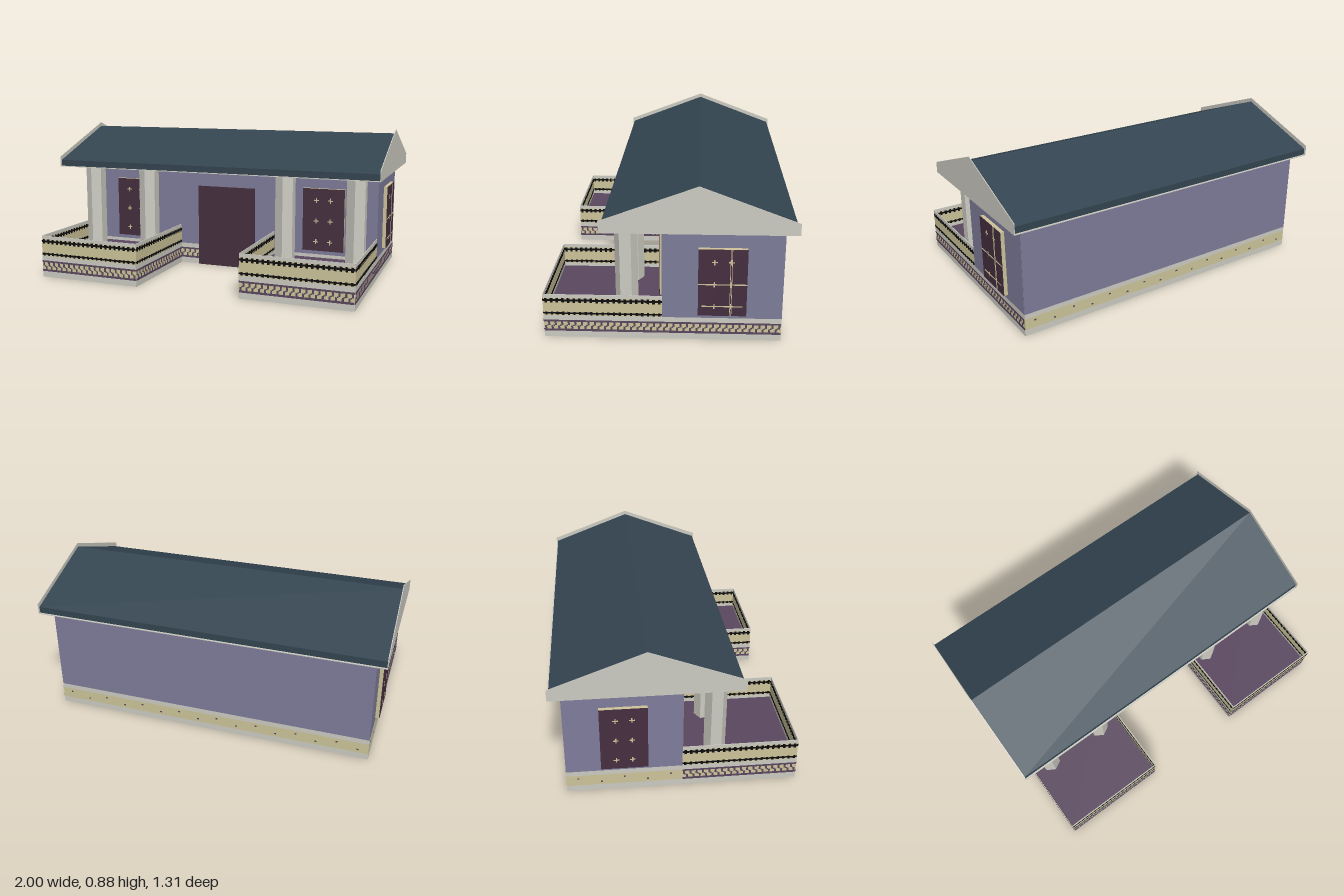
import * as THREE from 'three';
import { mergeGeometries } from 'three/addons/utils/BufferGeometryUtils.js';

const mat = (name, color) => {
  const m = new THREE.MeshStandardMaterial({ color });
  m.name = name;
  return m;
};

export function createModel() {
  const model = new THREE.Group();
  const lilac = mat('lilac wall', 0x7e7c9a);
  const stone = mat('pale stone', 0xcccbc2);
  const cream = mat('cream', 0xcdc49a);
  const maroon = mat('dark maroon', 0x452e3e);
  const slate = mat('slate roof', 0x334450);
  const plum = mat('plum', 0x5a475f);
  const black = mat('black', 0x0c0c0e);

  const add = (parent, name, geometry, material) => {
    const mesh = new THREE.Mesh(geometry, material);
    mesh.name = name;
    parent.add(mesh);
    return mesh;
  };
  const box = (w, h, d, x, y, z) => new THREE.BoxGeometry(w, h, d).translate(x, y, z);

  // A wall run is a group with local x along the wall, so strips stack up in y
  const run = (name, [x0, z0], [x1, z1]) => {
    const g = new THREE.Group();
    g.name = name;
    g.position.set((x0 + x1) / 2, 0, (z0 + z1) / 2);
    g.rotation.y = -Math.atan2(z1 - z0, x1 - x0);
    g.userData.length = Math.hypot(x1 - x0, z1 - z0);
    model.add(g);
    return g;
  };
  const strip = (g, name, material, y0, y1) =>
    add(g, name, box(g.userData.length, y1 - y0, 0.004, 0, (y0 + y1) / 2, 0), material);

  // Plinth bands, with a stepped fret or a few specks
  const plinth = (g, ornate) => {
    strip(g, 'plinthFoot', stone, 0, 0.035);
    strip(g, 'plinthBand', cream, 0.035, 0.1);
    strip(g, 'plinthCap', stone, 0.1, 0.128);
    const L = g.userData.length, n = Math.round(L / (ornate ? 0.035 : 0.12)), p = L / n;
    const parts = [];
    for (let i = 0; i < n; i++) {
      const x = -L / 2 + (i + 0.5) * p;
      if (ornate) {
        parts.push(box(p * 0.3, 0.022, 0.007, x - p * 0.25, 0.055, 0));
        parts.push(box(p * 0.3, 0.022, 0.007, x + p * 0.25, 0.08, 0));
        parts.push(box(p * 0.25, 0.007, 0.007, x, 0.0675, 0));
      } else {
        parts.push(box(0.012, 0.008, 0.007, x, i % 2 ? 0.055 : 0.08, 0));
      }
    }
    if (ornate) {
      parts.push(box(L, 0.012, 0.007, 0, 0.041, 0));
      parts.push(box(L, 0.01, 0.007, 0, 0.095, 0));
    }
    add(g, 'plinthFret', mergeGeometries(parts), plum);
  };

  // Terrace railing with two toothed black borders
  const railing = (g) => {
    strip(g, 'railPanel', cream, 0.128, 0.23);
    strip(g, 'railCap', stone, 0.23, 0.25);
    const L = g.userData.length, n = Math.round(L / 0.03), p = L / n;
    const parts = [box(L, 0.011, 0.007, 0, 0.217, 0), box(L, 0.009, 0.007, 0, 0.141, 0)];
    for (let i = 0; i < n; i++) {
      const x = -L / 2 + (i + 0.5) * p;
      parts.push(box(p * 0.45, 0.026, 0.007, x, 0.216, 0));
      parts.push(box(p * 0.4, 0.018, 0.007, x, 0.14, 0));
    }
    add(g, 'railTeeth', mergeGeometries(parts), black);
  };

  // House walls, open underneath
  const X = 0.938, Z0 = -0.59, Z1 = 0.03, ZT = 0.653;
  [
    ['frontWall', [-X, Z1], [X, Z1], true],
    ['leftWall', [X, Z1], [X, Z0], true],
    ['backWall', [X, Z0], [-X, Z0], false],
    ['rightWall', [-X, Z0], [-X, Z1], false],
  ].forEach(([name, a, b, ornate]) => {
    const g = run(name, a, b);
    plinth(g, ornate);
    strip(g, 'wallFace', lilac, 0.128, 0.63);
  });

  // Two walled terraces
  for (const s of [-1, 1]) {
    const xi = 0.312 * s, xo = X * s;
    [
      ['terraceInnerRail', [xi, Z1], [xi, ZT]],
      ['terraceFrontRail', [xi, ZT], [xo, ZT]],
      ['terraceOuterRail', [xo, ZT], [xo, Z1]],
    ].forEach(([name, a, b]) => {
      const g = run(name, a, b);
      plinth(g, true);
      railing(g);
    });
    add(model, 'terraceFloor',
      box(0.626, 0.006, ZT - Z1, (xi + xo) / 2, 0.105, (Z1 + ZT) / 2), plum);
  }

  // Hexagonal columns
  for (const x of [-0.818, -0.442, 0.437, 0.852]) {
    const geo = new THREE.CylinderGeometry(0.06, 0.06, 0.525, 6).toNonIndexed();
    geo.computeVertexNormals();
    add(model, 'column', geo, stone).position.set(x, 0.3675, 0.22);
  }

  // Front door
  add(model, 'door', box(0.375, 0.505, 0.009, 0, 0.2525, Z1 + 0.004), maroon);

  // Windows: cream casing, dark pane and small crosses
  const windowAt = (name, x, z, turn, barred) => {
    const g = new THREE.Group();
    g.name = name;
    g.position.set(x, 0, z);
    g.rotation.y = turn;
    model.add(g);
    add(g, 'casing', box(0.25, 0.375, 0.023, 0, 0.3425, 0.0115), cream);
    add(g, 'pane', box(0.25, 0.375, 0.003, 0, 0.3425, 0.0245), maroon);
    const parts = [];
    for (const px of [-0.0425, 0.0425]) for (const py of [0.21, 0.335, 0.46]) {
      parts.push(box(0.03, 0.006, 0.003, px, py, 0.026));
      parts.push(box(0.006, 0.03, 0.003, px, py, 0.026));
    }
    if (barred) {
      for (const dx of [-0.004, 0.004])
        parts.push(box(0.003, 0.375, 0.003, 0.0425 + dx, 0.3425, 0.026));
      parts.push(box(0.25, 0.006, 0.003, 0, 0.335, 0.026));
      parts.push(box(0.21, 0.006, 0.003, 0, 0.21, 0.026));
    }
    add(g, 'glazingCrosses', mergeGeometries(parts), cream);
  };
  windowAt('frontWindow', -0.627, Z1, 0, false);
  windowAt('frontWindow', 0.623, Z1, 0, false);
  windowAt('leftWindow', X, -0.28, Math.PI / 2, true);
  windowAt('rightWindow', -X, -0.28, -Math.PI / 2, false);

  // Pitched roof between two taller gable ends
  const pitched = (name, material, half, eave, ridge, depth, xMax) => {
    const c = -0.156;
    const shape = new THREE.Shape([
      [c - half, 0.63], [c + half, 0.63], [c + half, eave], [c, ridge], [c - half, eave],
    ].map(([z, y]) => new THREE.Vector2(z, y)));
    const mesh = add(model, name,
      new THREE.ExtrudeGeometry(shape, { depth, bevelEnabled: false }), material);
    mesh.rotation.y = -Math.PI / 2;
    mesh.position.x = xMax;
  };
  pitched('roof', slate, 0.488, 0.668, 0.853, 1.992, 0.996);
  pitched('leftGable', stone, 0.498, 0.69, 0.877, 0.004, 1);
  pitched('rightGable', stone, 0.498, 0.69, 0.877, 0.004, -0.996);
  add(model, 'soffit', box(2, 0.004, 0.996, 0, 0.629, -0.156), stone);

  return model;
}
